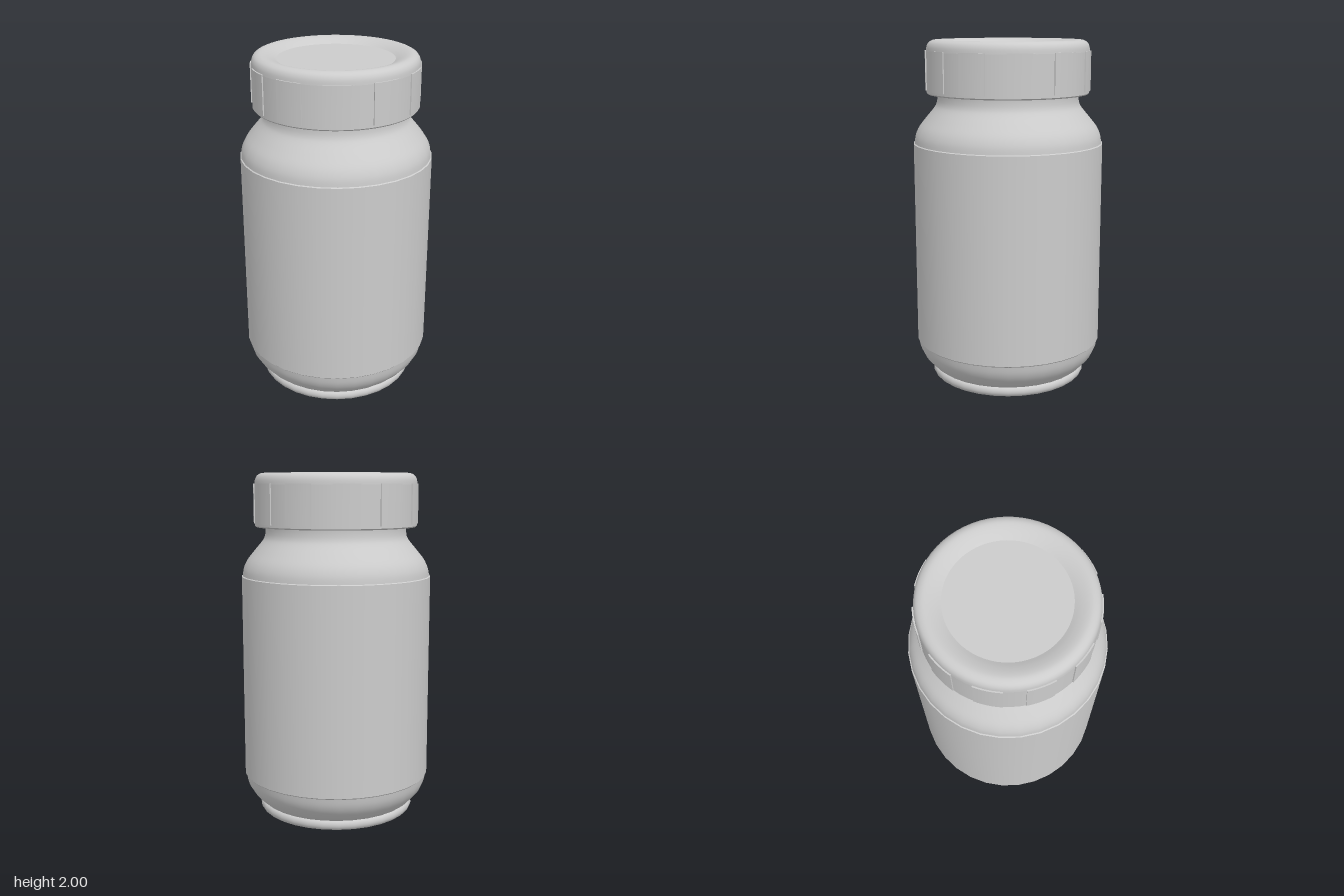
import * as THREE from 'three';

const material = new THREE.MeshStandardMaterial({ color: 0xcccccc, side: THREE.DoubleSide });
const V = (p) => new THREE.Vector2(p[0], p[1]);

// Turned surface; each profile run is its own lathe so the joins stay sharp
function turned(name, runs, sides) {
  const group = new THREE.Group();
  group.name = name;
  for (const [label, points, smooth] of runs) {
    let profile = points.map(V);
    if (smooth) profile = new THREE.SplineCurve(profile).getPoints(smooth);
    const mesh = new THREE.Mesh(
      new THREE.LatheGeometry(profile, sides, Math.PI / sides, Math.PI * 2), material);
    mesh.name = label;
    group.add(mesh);
  }
  return group;
}

// Raised grip: a thin box bent around the lid
function gripGeometry(angle, height, inner, outer) {
  const geo = new THREE.BoxGeometry(angle, height, outer - inner, 6, 1, 1);
  const pos = geo.attributes.position;
  const mid = (inner + outer) / 2;
  for (let i = 0; i < pos.count; i++) {
    const a = pos.getX(i), r = mid + pos.getZ(i);
    pos.setXYZ(i, Math.sin(a) * r, pos.getY(i), Math.cos(a) * r);
  }
  geo.computeVertexNormals();
  return geo;
}

export function createModel() {
  const model = new THREE.Group();
  model.name = 'jar';

  // Bottle: foot, curved base, straight wall, shoulder and neck
  model.add(turned('bottle', [
    ['bottom', [[0, 0], [0.43, 0]]],
    ['foot', [[0.43, 0], [0.447, 0.005], [0.458, 0.02], [0.46, 0.036], [0.455, 0.05], [0.446, 0.058]], 12],
    ['lowerCurve', [[0.446, 0.058], [0.475, 0.083], [0.515, 0.13], [0.537, 0.175], [0.547, 0.225]], 16],
    ['wall', [[0.547, 0.225], [0.547, 1.41]]],
    ['shoulder', [[0.547, 1.41], [0.54, 1.455], [0.518, 1.503], [0.475, 1.558], [0.43, 1.612],
      [0.415, 1.64], [0.41, 1.67], [0.41, 1.7]], 28],
    ['neck', [[0.41, 1.7], [0.41, 1.9]]],
  ], 32));

  // Slightly raised band around the straight wall
  model.add(turned('labelBand', [
    ['bandLowerEdge', [[0.545, 0.22], [0.553, 0.228]]],
    ['bandFace', [[0.553, 0.228], [0.553, 1.41]]],
    ['bandUpperEdge', [[0.553, 1.41], [0.545, 1.415]]],
  ], 32));

  // Lid: hollow skirt, rounded rim and sunken centre disc
  const lid = turned('lid', [
    ['lidInside', [[0, 1.9], [0.44, 1.9]]],
    ['skirtInside', [[0.44, 1.9], [0.44, 1.695]]],
    ['skirtEdge', [[0.44, 1.695], [0.464, 1.695], [0.47, 1.702]]],
    ['skirt', [[0.47, 1.702], [0.47, 1.935]]],
    ['rim', [[0.47, 1.935], [0.466, 1.965], [0.452, 1.988], [0.425, 2], [0.395, 1.997],
      [0.36, 1.984], [0.33, 1.968]], 24],
    ['lidDisc', [[0.33, 1.968], [0, 1.968]]],
  ], 66);
  model.add(lid);

  // Eleven grips spaced around the skirt
  const grips = 11;
  const grip = gripGeometry(THREE.MathUtils.degToRad(18.6), 0.225, 0.46, 0.477);
  for (let i = 0; i < grips; i++) {
    const mesh = new THREE.Mesh(grip, material);
    mesh.name = 'lidGrip';
    mesh.position.y = 1.828;
    mesh.rotation.y = THREE.MathUtils.degToRad(-5.5) + (i / grips) * Math.PI * 2;
    lid.add(mesh);
  }
  return model;
}
